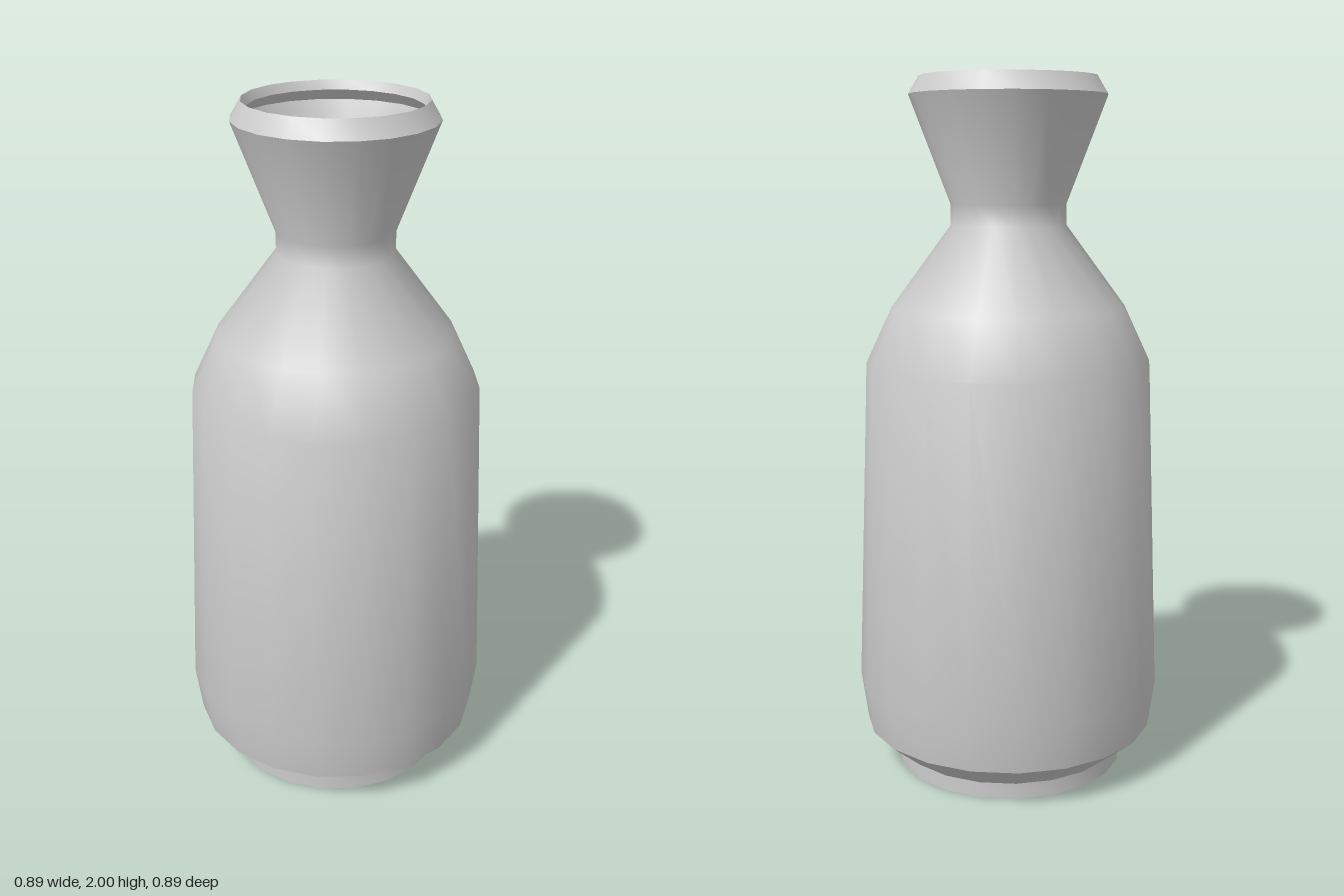
import * as THREE from 'three';
import { toCreasedNormals } from 'three/addons/utils/BufferGeometryUtils.js';

const SIDES = 20;

export function createModel() {
  const group = new THREE.Group();
  group.name = 'bottle';
  const material = new THREE.MeshStandardMaterial({ color: 0xcccccc });

  // Outer wall, from the centre of the foot up to the lip: [radius, height]
  const outer = [
    [0, 0], [0.335, 0], [0.335, 0.045], [0.425, 0.12], [0.445, 0.26],
    [0.41, 1.2], [0.335, 1.36], [0.165, 1.59], [0.165, 1.65],
    [0.28, 1.95], [0.25, 2],
  ];
  // Inner wall, from the lip down to the centre of the floor
  const inner = [
    [0.238, 1.975], [0.262, 1.945], [0.15, 1.655], [0.15, 1.585],
    [0.323, 1.35], [0.395, 1.195], [0.43, 0.26], [0.412, 0.13],
    [0.325, 0.06], [0.32, 0.015], [0, 0.015],
  ];

  // One closed shell turned around the vertical axis, with the sharp rings kept crisp
  const profile = [...outer, ...inner].map(([r, y]) => new THREE.Vector2(r, y));
  const geometry = toCreasedNormals(
    new THREE.LatheGeometry(profile, SIDES),
    THREE.MathUtils.degToRad(40)
  );
  const shell = new THREE.Mesh(geometry, material);
  shell.name = 'bottleShell';
  group.add(shell);

  return group;
}
